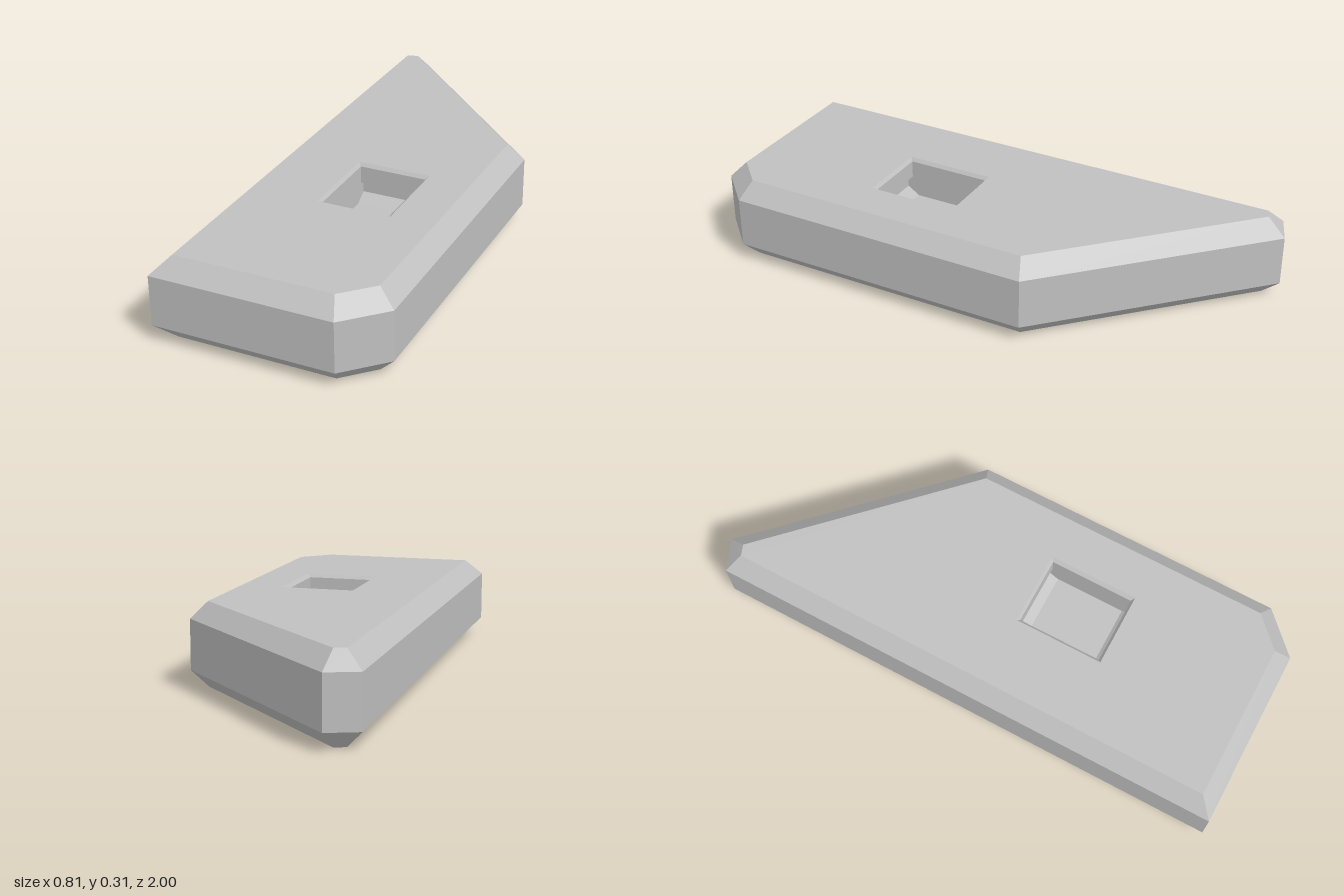
import * as THREE from 'three';

// Outlines run counter-clockwise seen from above, as [x, z]
const OUTER = [[-0.405, 1], [0.265, 1], [0.405, 0.86], [0.405, -0.305], [-0.29, -1], [-0.405, -0.955]];
const INNER = [[-0.345, 0.94], [0.24, 0.94], [0.345, 0.835], [0.345, -0.28], [-0.305, -0.93], [-0.345, -0.915]];

const rect = (x0, x1, z0, z1) => [[x0, z1], [x1, z1], [x1, z0], [x0, z0]];

// Walls joining successive rings of equal corner count
function loft(rings) {
  const pos = [];
  for (let r = 0; r < rings.length - 1; r++) {
    const [a, b] = [rings[r], rings[r + 1]];
    const n = a.pts.length;
    const at = (ring, i) => [ring.pts[i % n][0], ring.y, ring.pts[i % n][1]];
    for (let i = 0; i < n; i++) {
      const [p, q, s, t] = [at(a, i), at(a, i + 1), at(b, i + 1), at(b, i)];
      pos.push(...p, ...q, ...s, ...p, ...s, ...t);
    }
  }
  const geo = new THREE.BufferGeometry();
  geo.setAttribute('position', new THREE.Float32BufferAttribute(pos, 3));
  geo.computeVertexNormals();
  return geo;
}

// Flat horizontal face, with an optional hole, looking up or down
function cap(pts, y, up = true, hole = null) {
  const k = up ? -1 : 1;
  const vec = (list) => list.map(([x, z]) => new THREE.Vector2(x, k * z));
  const shape = new THREE.Shape(vec(pts));
  if (hole) shape.holes.push(new THREE.Path(vec(hole)));
  return new THREE.ShapeGeometry(shape).rotateX(k * Math.PI / 2).translate(0, y, 0);
}

export function createModel() {
  const group = new THREE.Group();
  group.name = 'bevelledPlate';
  const grey = new THREE.MeshStandardMaterial({ color: 0xc0c0c0, flatShading: true });
  grey.name = 'grey';

  const add = (name, geo) => {
    const mesh = new THREE.Mesh(geo, grey);
    mesh.name = name;
    group.add(mesh);
  };

  // Socket: bevelled rim, neck, undercut groove front and back, sloping ledges to the floor
  const socket = [
    { y: 0.3125, pts: rect(-0.09, 0.185, 0.08, 0.415) },
    { y: 0.3, pts: rect(-0.08, 0.172, 0.09, 0.405) },
    { y: 0.235, pts: rect(-0.08, 0.172, 0.09, 0.405) },
    { y: 0.225, pts: rect(-0.08, 0.172, 0.07, 0.425) },
    { y: 0.19, pts: rect(-0.08, 0.172, 0.07, 0.425) },
    { y: 0.16, pts: rect(-0.08, 0.172, 0.115, 0.38) },
  ];
  const floor = socket[socket.length - 1];

  // Body with chamfers above and below
  add('bodySides', loft([
    { y: 0, pts: INNER },
    { y: 0.0625, pts: OUTER },
    { y: 0.25, pts: OUTER },
    { y: 0.3125, pts: INNER },
  ]));
  add('topFace', cap(INNER, 0.3125, true, socket[0].pts));
  add('bottomFace', cap(INNER, 0, false));
  add('socketWalls', loft(socket));
  add('socketFloor', cap(floor.pts, floor.y));
  return group;
}
